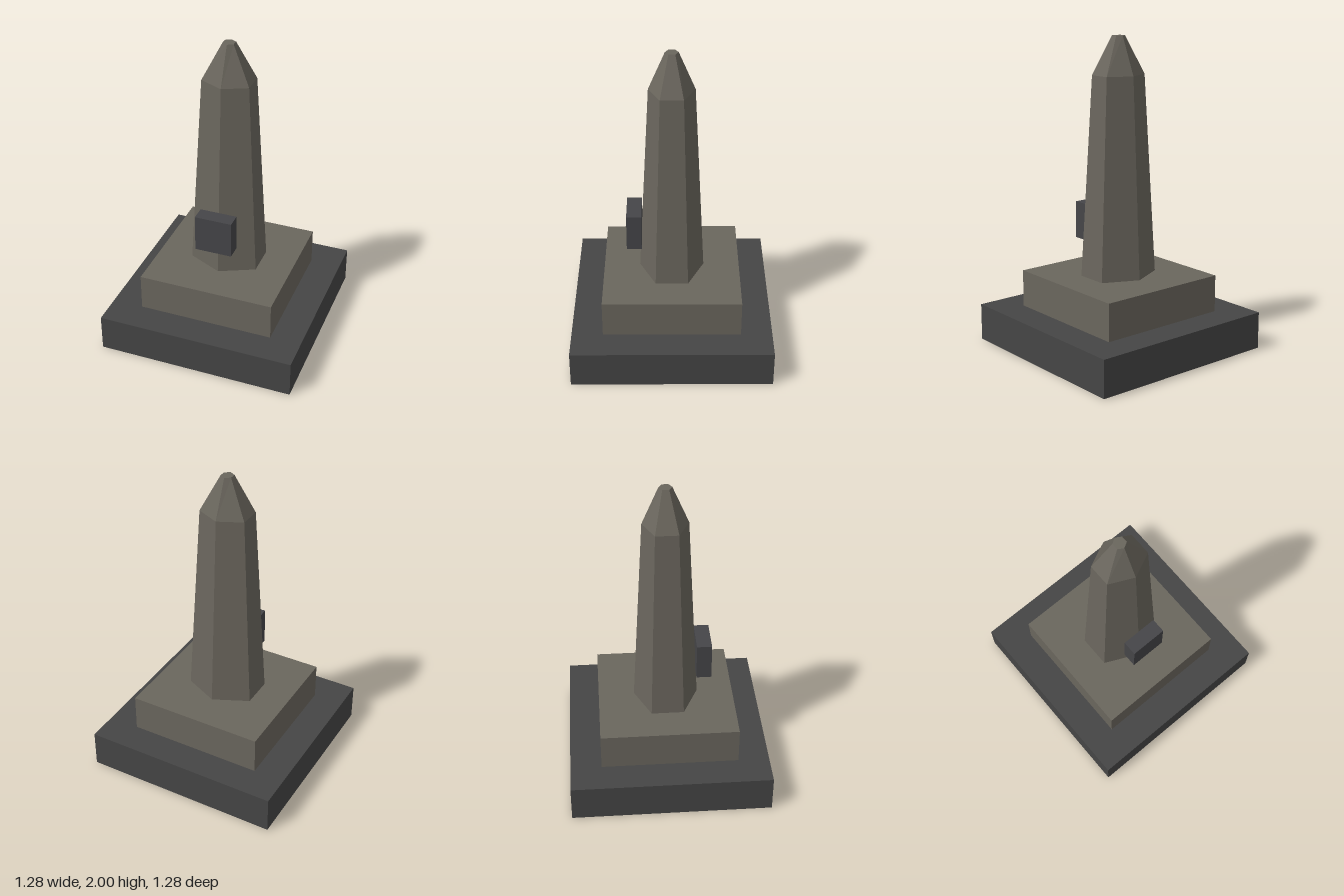
import * as THREE from 'three';

export function createModel() {
  const model = new THREE.Group();
  const mat = (name, color) => {
    const m = new THREE.MeshStandardMaterial({ color, flatShading: true });
    m.name = name;
    return m;
  };
  const stone = mat('warm grey stone', 0x6a665d);
  const darkStone = mat('dark grey stone', 0x454545);
  const slate = mat('slate plaque', 0x454548);

  const add = (name, geometry, material, y, z = 0) => {
    const mesh = new THREE.Mesh(geometry, material);
    mesh.name = name;
    mesh.position.set(0, y, z);
    model.add(mesh);
  };

  // Six-sided tapered block with corners facing front and back;
  // each end is given as [half width in x, half depth in z]
  const hexTaper = (top, bottom, height) => {
    const g = new THREE.CylinderGeometry(1, 1, height, 6);
    const p = g.attributes.position;
    for (let i = 0; i < p.count; i++) {
      const [hx, hz] = p.getY(i) > 0 ? top : bottom;
      p.setX(i, p.getX(i) * hx / Math.cos(Math.PI / 6));
      p.setZ(i, p.getZ(i) * hz);
    }
    g.computeVertexNormals();
    return g;
  };

  // Stepped base
  add('base', new THREE.BoxGeometry(1.28, 0.24, 1.28), darkStone, 0.12);
  add('plinth', new THREE.BoxGeometry(0.88, 0.24, 0.88), stone, 0.36);

  // Obelisk shaft and its blunt point
  add('shaft', hexTaper([0.152, 0.143], [0.221, 0.208], 1.28), stone, 1.12);
  add('cap', hexTaper([0.035, 0.041], [0.152, 0.143], 0.24), stone, 1.88);

  // Plaque on the front corner
  add('plaque', new THREE.BoxGeometry(0.24, 0.24, 0.096), slate, 0.8, 0.24);

  return model;
}
